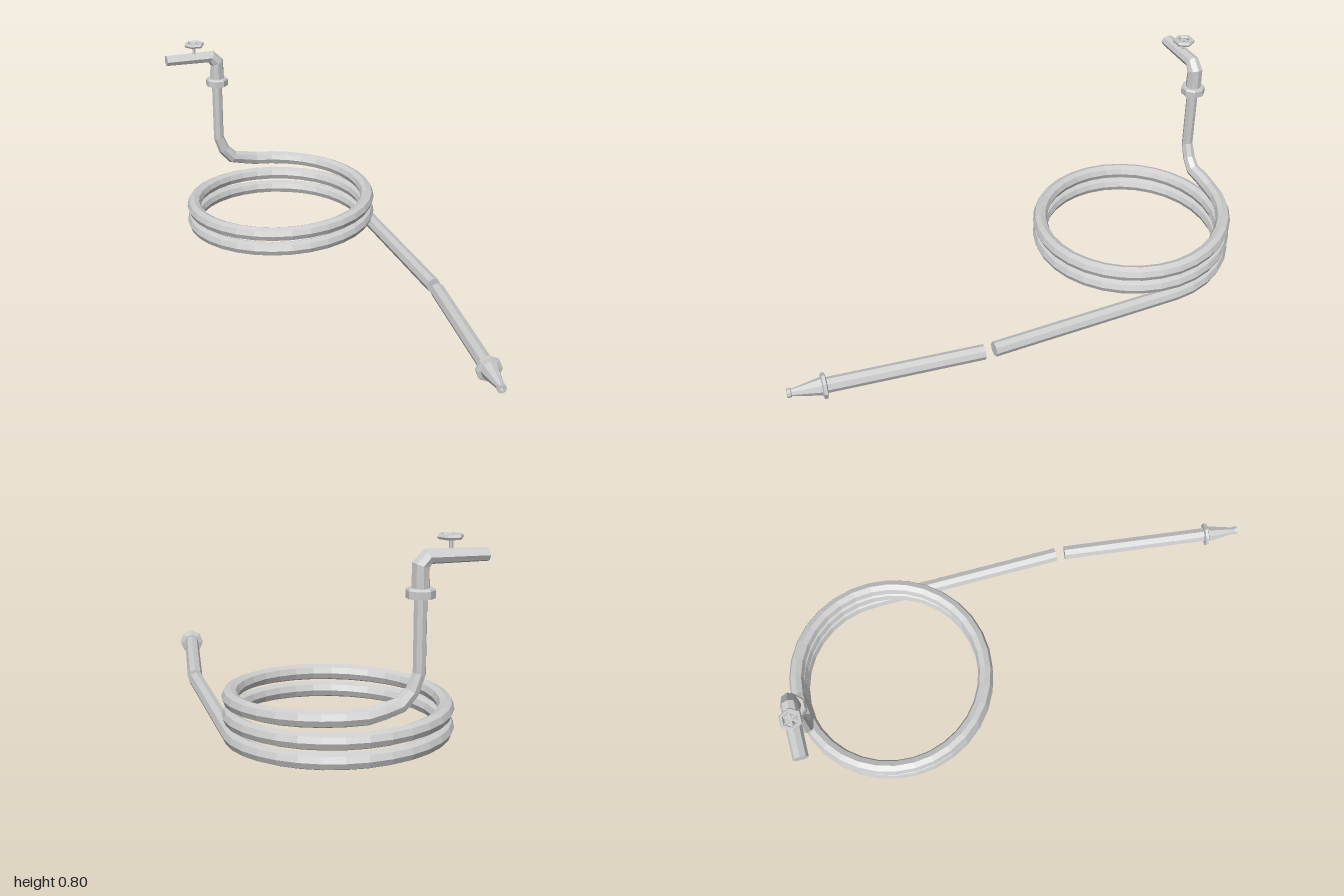
import * as THREE from 'three';

const SIDES = 8;
const HOSE_R = 0.03;
const COIL = { x: 0, z: -0.59, r: 0.38, y: 0.05, pitch: 0.067 };
const V = (x, y, z) => new THREE.Vector3(x, y, z);

const material = new THREE.MeshStandardMaterial({ color: 0xcccccc, flatShading: true });

function part(name, geometry, position) {
  const mesh = new THREE.Mesh(geometry, material);
  mesh.name = name;
  if (position) mesh.position.copy(position);
  return mesh;
}

// Capped octagonal tube through rings { p, side, a, b }:
// a = radius along side, b = radius across it.
function sweep(rings) {
  const pos = [], index = [];
  const last = rings.length - 1;
  rings.forEach(({ p, side, a, b }, i) => {
    const before = rings[Math.max(i - 1, 0)].p, after = rings[Math.min(i + 1, last)].p;
    const t = i === 0 || i === last
      ? after.clone().sub(before).normalize()
      : p.clone().sub(before).normalize().add(after.clone().sub(p).normalize()).normalize();
    const u = side.clone().addScaledVector(t, -side.dot(t)).normalize();
    const v = t.clone().cross(u);
    for (let k = 0; k < SIDES; k++) {
      const ang = (k / SIDES) * Math.PI * 2;
      const q = p.clone().addScaledVector(u, a * Math.cos(ang)).addScaledVector(v, b * Math.sin(ang));
      pos.push(q.x, q.y, q.z);
    }
  });
  for (let i = 0; i < last; i++) {
    for (let k = 0; k < SIDES; k++) {
      const n = (k + 1) % SIDES, r0 = i * SIDES, r1 = r0 + SIDES;
      index.push(r0 + k, r0 + n, r1 + n, r0 + k, r1 + n, r1 + k);
    }
  }
  for (let k = 1; k < SIDES - 1; k++) {
    index.push(0, k + 1, k);
    index.push(last * SIDES, last * SIDES + k, last * SIDES + k + 1);
  }
  const g = new THREE.BufferGeometry();
  g.setAttribute('position', new THREE.Float32BufferAttribute(pos, 3));
  g.setIndex(index);
  g.computeVertexNormals();
  return g;
}

// Straight lead-in, two and a quarter turns of coil, then the rise to the tap
function hoseRings() {
  const rings = [{ p: V(COIL.r, COIL.y, 0.21), side: V(1, 0, 0), a: HOSE_R, b: HOSE_R }];
  const perTurn = 32, steps = perTurn * 2.25;
  for (let i = 0; i <= steps; i++) {
    const turns = i / perTurn, ang = turns * Math.PI * 2;
    const side = V(Math.cos(ang), 0, -Math.sin(ang));
    const extra = Math.max(0, turns - 2) * 0.05;
    const p = V(COIL.x + COIL.r * side.x, COIL.y + COIL.pitch * turns + extra, COIL.z + COIL.r * side.z);
    rings.push({ p, side, a: HOSE_R, b: HOSE_R });
  }
  const rise = [
    [-0.055, 0.226, -0.966, 0.03], [-0.112, 0.24, -0.956, 0.029], [-0.152, 0.283, -0.955, 0.026],
    [-0.175, 0.343, -0.955, 0.023], [-0.175, 0.61, -0.955, 0.023],
  ];
  for (const [x, y, z, r] of rise) rings.push({ p: V(x, y, z), side: V(0, 0, -1), a: r, b: r });
  return rings;
}

export function createModel() {
  const model = new THREE.Group();
  model.name = 'gardenHose';

  model.add(part('coiledHose', sweep(hoseRings())));

  // Loose end of the hose with its nozzle, aimed from the break to the tip
  const start = V(0.378, 0.05, 0.25), tip = V(0.28, 0.05, 1.0);
  const dir = tip.clone().sub(start);
  const length = dir.length();
  const end = new THREE.Group();
  end.name = 'hoseEnd';
  end.position.copy(start);
  end.rotation.y = Math.atan2(dir.x, dir.z);
  const hose = new THREE.CylinderGeometry(HOSE_R, HOSE_R, length - 0.13, SIDES);
  hose.rotateX(Math.PI / 2).translate(0, 0, (length - 0.13) / 2);
  end.add(part('endHose', hose));

  // Nozzle: collar, cone, flared tip and recessed bore
  const profile = [
    [0, -0.148], [0.036, -0.148], [0.05, -0.144], [0.05, -0.132], [0.035, -0.128],
    [0.014, -0.016], [0.018, -0.012], [0.018, 0], [0.009, 0], [0.009, -0.02], [0, -0.02],
  ].map(([r, h]) => new THREE.Vector2(r, h));
  const nozzle = new THREE.LatheGeometry(profile, SIDES);
  nozzle.rotateX(Math.PI / 2).translate(0, 0, length);
  end.add(part('nozzle', nozzle));
  model.add(end);

  // Tap: bent pipe, coupling nut, stem and handwheel
  const tap = new THREE.Group();
  tap.name = 'tap';
  const bend = [
    [-0.4, 0.728, 0.029, 0.023], [-0.198, 0.728, 0.03, 0.028],
    [-0.173, 0.7, 0.032, 0.031], [-0.174, 0.62, 0.032, 0.032],
  ];
  tap.add(part('tapPipe', sweep(bend.map(([x, y, a, b]) => ({ p: V(x, y, -0.955), side: V(0, 0, 1), a, b })))));

  const nutProfile = [[0, 0], [0.049, 0], [0.049, 0.026], [0.044, 0.033], [0, 0.033]]
    .map(([r, h]) => new THREE.Vector2(r, h));
  const nut = new THREE.LatheGeometry(nutProfile, SIDES, Math.PI / SIDES);
  tap.add(part('couplingNut', nut, V(-0.174, 0.594, -0.955)));

  tap.add(part('valveStem', new THREE.CylinderGeometry(0.007, 0.007, 0.06, 6), V(-0.275, 0.765, -0.953)));

  const wheel = new THREE.Group();
  wheel.name = 'handwheel';
  wheel.position.set(-0.272, 0.79, -0.953);
  wheel.add(part('wheelRim', new THREE.TorusGeometry(0.036, 0.0095, 6, 6).rotateX(Math.PI / 2)));
  for (let i = 0; i < 3; i++) {
    const spoke = part('wheelSpoke', new THREE.BoxGeometry(0.068, 0.007, 0.007));
    spoke.rotation.y = (i * Math.PI) / 3;
    wheel.add(spoke);
  }
  tap.add(wheel);
  model.add(tap);

  return model;
}
